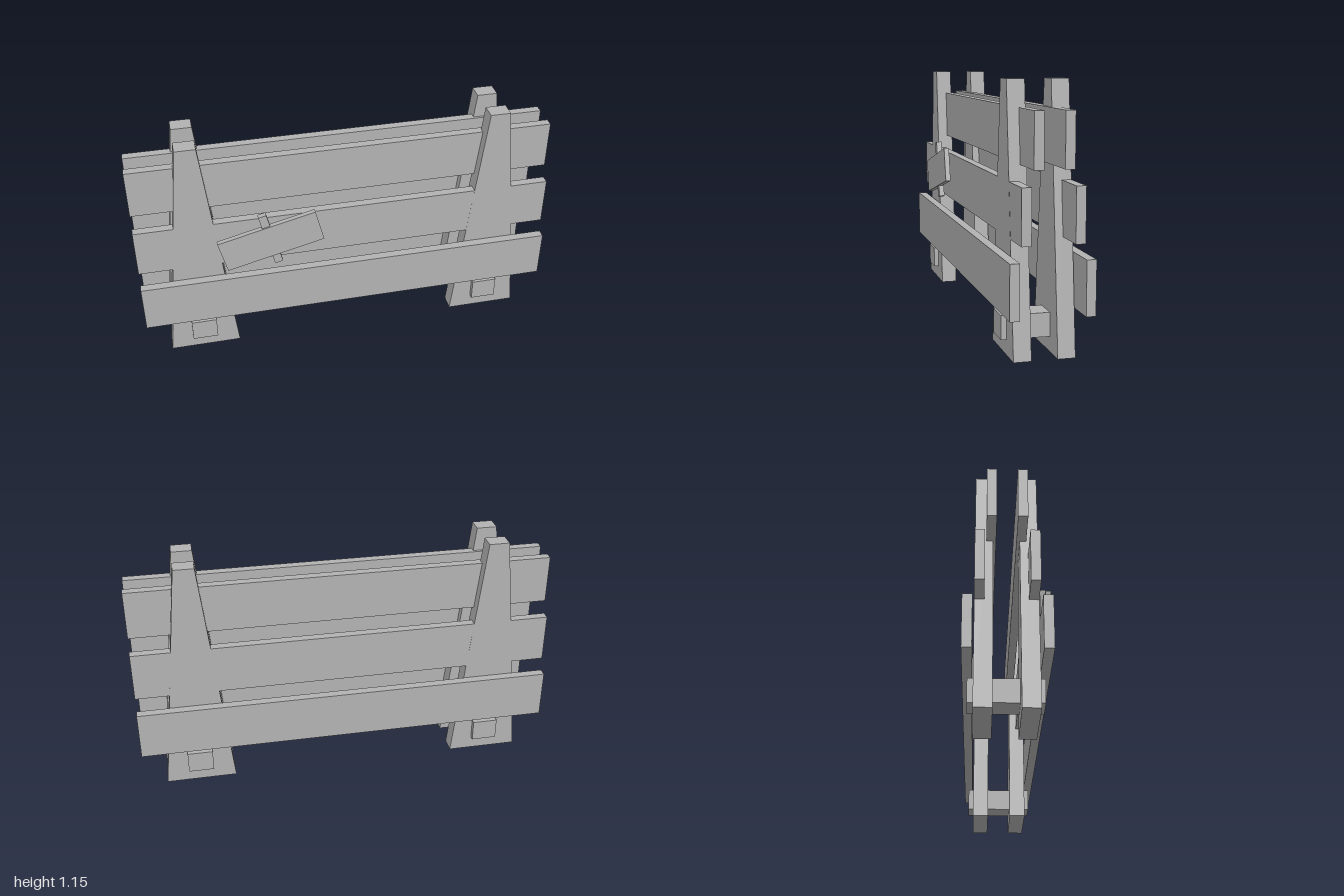
import * as THREE from 'three';

export function createModel() {
  const model = new THREE.Group();
  model.name = 'plankFence';
  const grey = new THREE.MeshStandardMaterial({ color: 0xb2b2b2 });
  grey.name = 'grey wood';

  // Box given by its centre x and its y and z ranges
  function box(name, x, width, y0, y1, z0, z1, parent = model) {
    const mesh = new THREE.Mesh(new THREE.BoxGeometry(width, y1 - y0, z1 - z0), grey);
    mesh.position.set(x, (y0 + y1) / 2, (z0 + z1) / 2);
    mesh.name = name;
    parent.add(mesh);
    return mesh;
  }

  // Tapered posts, joined front to back by a short beam on each side
  const taper = new THREE.Shape([
    new THREE.Vector2(-0.17, 0), new THREE.Vector2(0.17, 0),
    new THREE.Vector2(0.048, 1.15), new THREE.Vector2(-0.048, 1.15),
  ]);
  const postGeometry = new THREE.ExtrudeGeometry(taper, { depth: 0.077, bevelEnabled: false });
  for (const side of [-1, 1]) {
    for (const [name, z] of [['frontPost', 0.048], ['backPost', -0.142]]) {
      const post = new THREE.Mesh(postGeometry, grey);
      post.position.set(side * 0.723, 0, z);
      post.name = name;
      model.add(post);
    }
    box('crossBeam', side * 0.723, 0.122, 0.066, 0.171, -0.167, 0.149);
  }

  // Three planks per face, each lower one set further out
  const planks = [
    ['bottomPlank', 0.203, 0.437, 0.130, -0.189],
    ['middlePlank', 0.502, 0.736, 0.083, -0.1415],
    ['topPlank', 0.802, 1.034, 0.034, -0.094],
  ];
  for (const [name, y0, y1, frontZ, backZ] of planks) {
    box(name + 'Front', 0, 2, y0, y1, frontZ, frontZ + 0.0415);
    box(name + 'Back', 0, 2, y0, y1, backZ, backZ + 0.0415);
  }

  // Tilted sign board on a short batten
  const sign = new THREE.Group();
  sign.name = 'tiltedSign';
  sign.position.set(-0.375, 0.643, 0);
  sign.rotation.z = THREE.MathUtils.degToRad(14);
  box('signBoard', 0, 0.476, -0.083, 0.083, 0.167, 0.191, sign);
  box('signBatten', 0, 0.039, -0.136, 0.148, 0.158, 0.184, sign);
  model.add(sign);

  return model;
}
